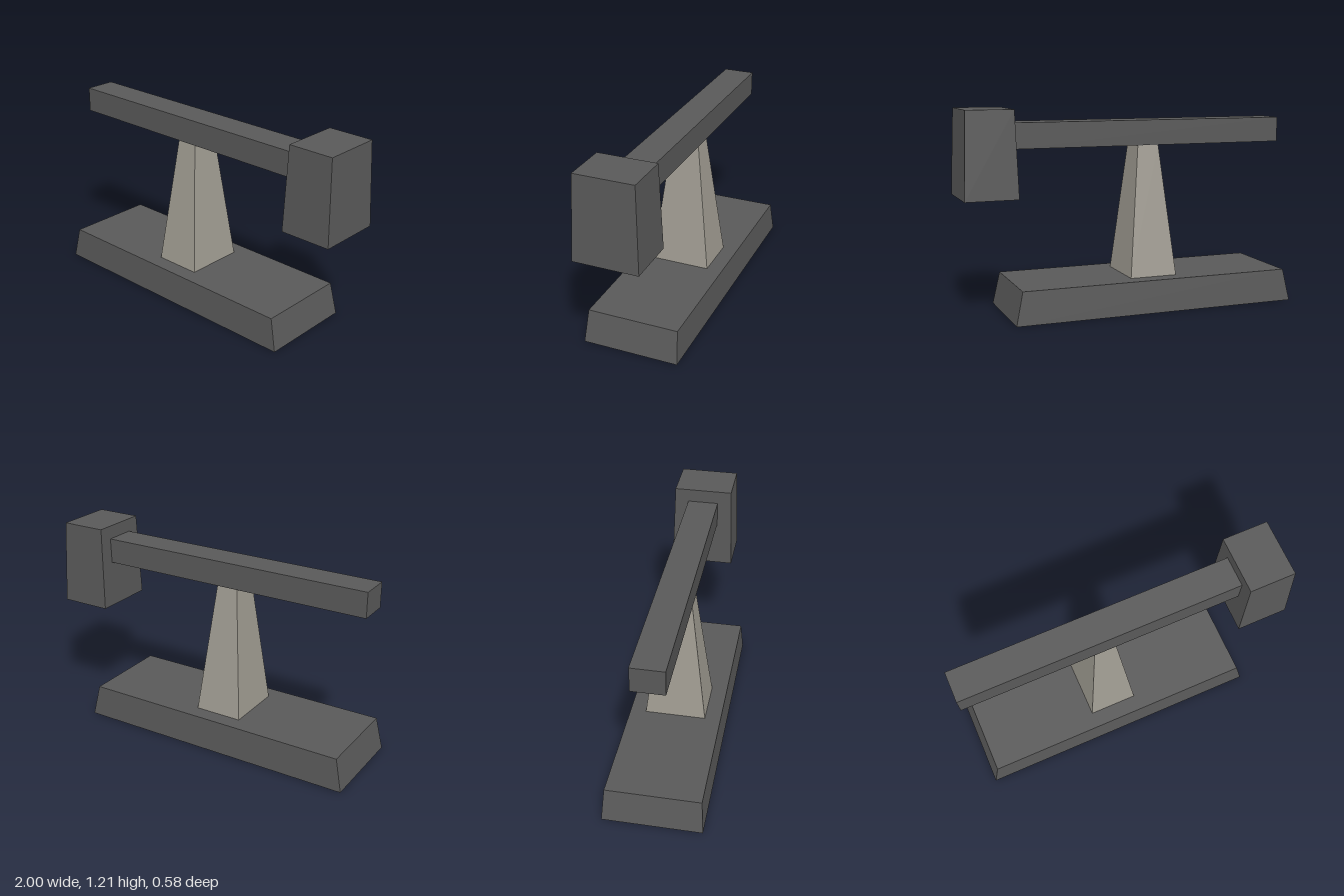
import * as THREE from 'three';

const darkGrey = new THREE.MeshStandardMaterial({ color: 0x595959 });
darkGrey.name = 'darkGrey';
const stone = new THREE.MeshStandardMaterial({ color: 0xa09c92 });
stone.name = 'stone';

// Box from y0 to y1, centred on x = cx, whose top has its own width and depth
function taperedBox(name, material, cx, [y0, y1], [w0, d0], [w1, d1] = [w0, d0]) {
  const geometry = new THREE.BoxGeometry(1, y1 - y0, 1);
  const p = geometry.attributes.position;
  for (let i = 0; i < p.count; i++) {
    const top = p.getY(i) > 0;
    p.setX(i, p.getX(i) * (top ? w1 : w0));
    p.setZ(i, p.getZ(i) * (top ? d1 : d0));
  }
  geometry.computeVertexNormals();
  const mesh = new THREE.Mesh(geometry, material);
  mesh.name = name;
  mesh.position.set(cx, (y0 + y1) / 2, 0);
  return mesh;
}

export function createModel() {
  const model = new THREE.Group();
  model.name = 'rockingBeam';
  model.add(
    // Sloped plinth and the tapered post standing on it
    taperedBox('base', darkGrey, -0.128, [0, 0.195], [1.744, 0.582], [1.66, 0.554]),
    taperedBox('post', stone, -0.13, [0.195, 0.978], [0.29, 0.364], [0.13, 0.17]),
    // Level beam running into the hanging head
    taperedBox('beam', darkGrey, -0.145, [0.977, 1.127], [1.71, 0.187]),
    taperedBox('head', darkGrey, 0.845, [0.702, 1.206], [0.31, 0.386], [0.276, 0.352]),
  );
  return model;
}
